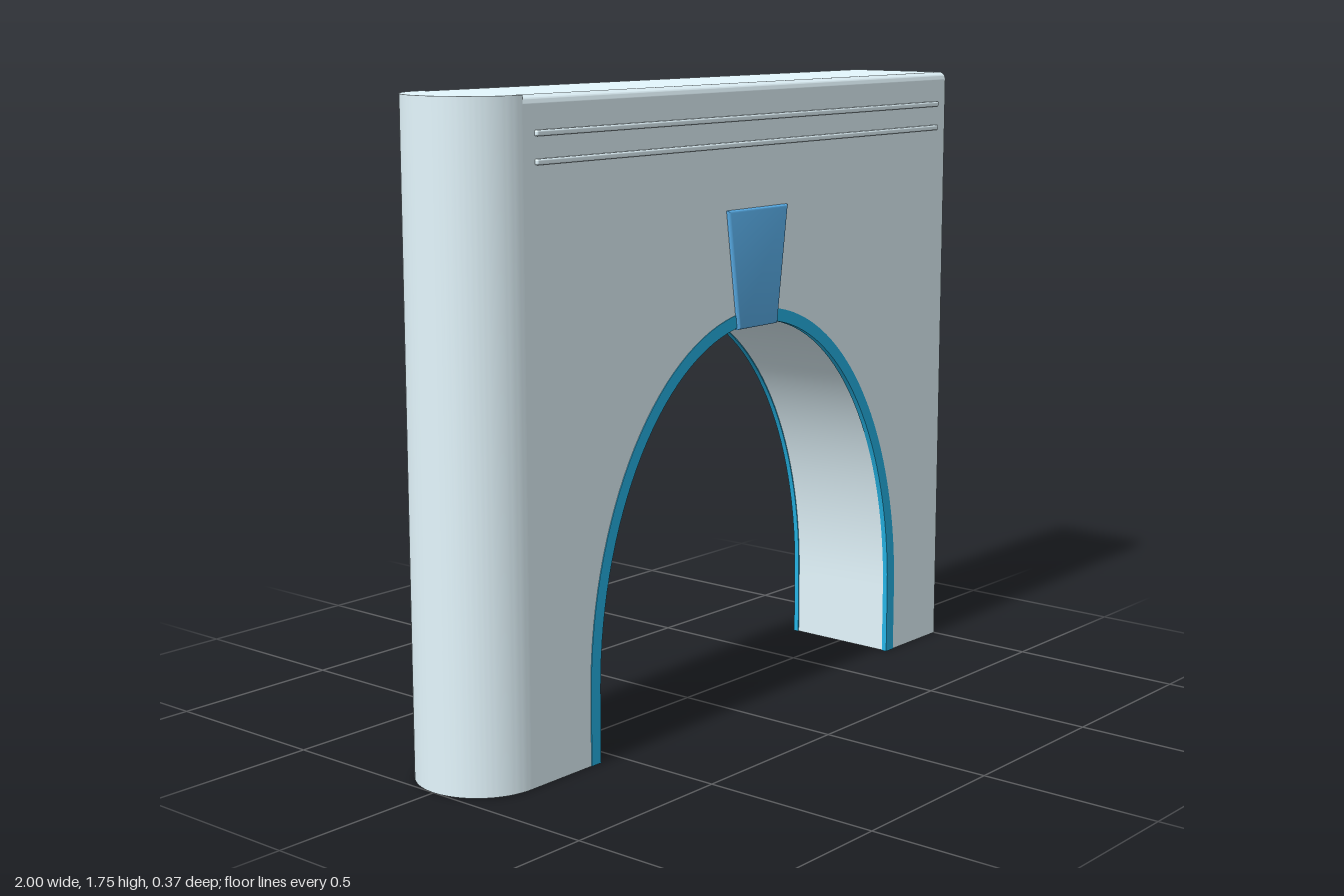
import * as THREE from 'three';
import { toCreasedNormals } from 'three/addons/utils/BufferGeometryUtils.js';
import { RoundedBoxGeometry } from 'three/addons/geometries/RoundedBoxGeometry.js';

const HALF = 0.175;      // half thickness of the wall
const TOP = 1.75;        // wall height
const ROUND = 0.022;     // radius of the long top edges
const JOIN = -0.825;     // where the wall meets its rounded end
const ARCH_X = 0.086;    // centre of the opening
const SPRING = 0.2;      // height where the arch begins to curve
const TRIM = 0.033;      // width of the arch trim

// Points of the arch line from left foot over the crown to right foot
function archPoints(inset) {
  const a = 0.686 - inset, b = 0.932 - inset, n = 64;
  const pts = [new THREE.Vector2(ARCH_X - a, 0)];
  for (let i = 0; i <= n; i++) {
    const t = Math.PI * (1 - i / n);
    pts.push(new THREE.Vector2(ARCH_X + a * Math.cos(t), SPRING + b * Math.sin(t)));
  }
  pts.push(new THREE.Vector2(ARCH_X + a, 0));
  return pts;
}

// Extrude a shape, centred on z = 0
function slab(points, depth, bevel = 0) {
  const geo = new THREE.ExtrudeGeometry(new THREE.Shape(points), {
    depth: depth - 2 * bevel, bevelEnabled: bevel > 0, bevelThickness: bevel,
    bevelSize: bevel, bevelOffset: -bevel, bevelSegments: 3,
  });
  geo.translate(0, 0, -depth / 2 + bevel);
  return toCreasedNormals(geo, 0.6);
}

export function createModel() {
  const group = new THREE.Group();
  const paleStone = new THREE.MeshStandardMaterial({ color: 0xe5f8ff });
  const trimBlue = new THREE.MeshStandardMaterial({ color: 0x25b6e8 });
  const stoneBlue = new THREE.MeshStandardMaterial({ color: 0x5bb2ee });
  const add = (name, geo, mat) => {
    const mesh = new THREE.Mesh(geo, mat);
    mesh.name = name;
    group.add(mesh);
    return mesh;
  };
  const v = (x, y) => new THREE.Vector2(x, y);

  // Wall with the arched opening
  const shoulder = TOP - ROUND;
  add('wall', slab([
    v(JOIN, 0), ...archPoints(TRIM), v(1, 0), v(1, shoulder), v(JOIN, shoulder),
  ], HALF * 2), paleStone);

  // Top strip with rounded long edges, run along x
  const section = new THREE.Shape();
  section.moveTo(-HALF, shoulder);
  section.lineTo(HALF, shoulder);
  section.absarc(HALF - ROUND, shoulder, ROUND, 0, Math.PI / 2);
  section.absarc(-HALF + ROUND, shoulder, ROUND, Math.PI / 2, Math.PI);
  const strip = new THREE.ExtrudeGeometry(section, { depth: 1 - JOIN, bevelEnabled: false, curveSegments: 8 });
  strip.rotateY(Math.PI / 2).translate(JOIN, 0, 0);
  add('wallTop', toCreasedNormals(strip, 0.6), paleStone);

  // Closed half-round end of the wall
  const halfRound = new THREE.Shape().absarc(0, 0, HALF, Math.PI / 2, Math.PI * 1.5);
  const end = new THREE.ExtrudeGeometry(halfRound, { depth: TOP, bevelEnabled: false, curveSegments: 40 });
  end.rotateX(-Math.PI / 2).translate(JOIN, 0, 0);
  add('roundedEnd', toCreasedNormals(end, 0.6), paleStone);

  // Keystone through the full thickness
  add('keystone', slab([
    v(0, 1.083), v(0.172, 1.083), v(0.216, 1.412), v(-0.046, 1.412),
  ], 0.37, 0.008), stoneBlue);

  // Arch trim and twin ledges on both faces
  const trimGeo = slab([...archPoints(0), ...archPoints(TRIM + 0.003).reverse()], 0.016);
  const ledgeGeo = new RoundedBoxGeometry(1.74, 0.015, 0.02, 2, 0.005);
  for (const [side, s] of [['front', 1], ['back', -1]]) {
    add(side + 'ArchTrim', trimGeo, trimBlue).position.z = s * (HALF - 0.006);
    [['Lower', 1.587], ['Upper', 1.657]].forEach(([level, y]) => {
      add(side + level + 'Ledge', ledgeGeo, paleStone).position.set(0.085, y, s * HALF);
    });
  }
  return group;
}
